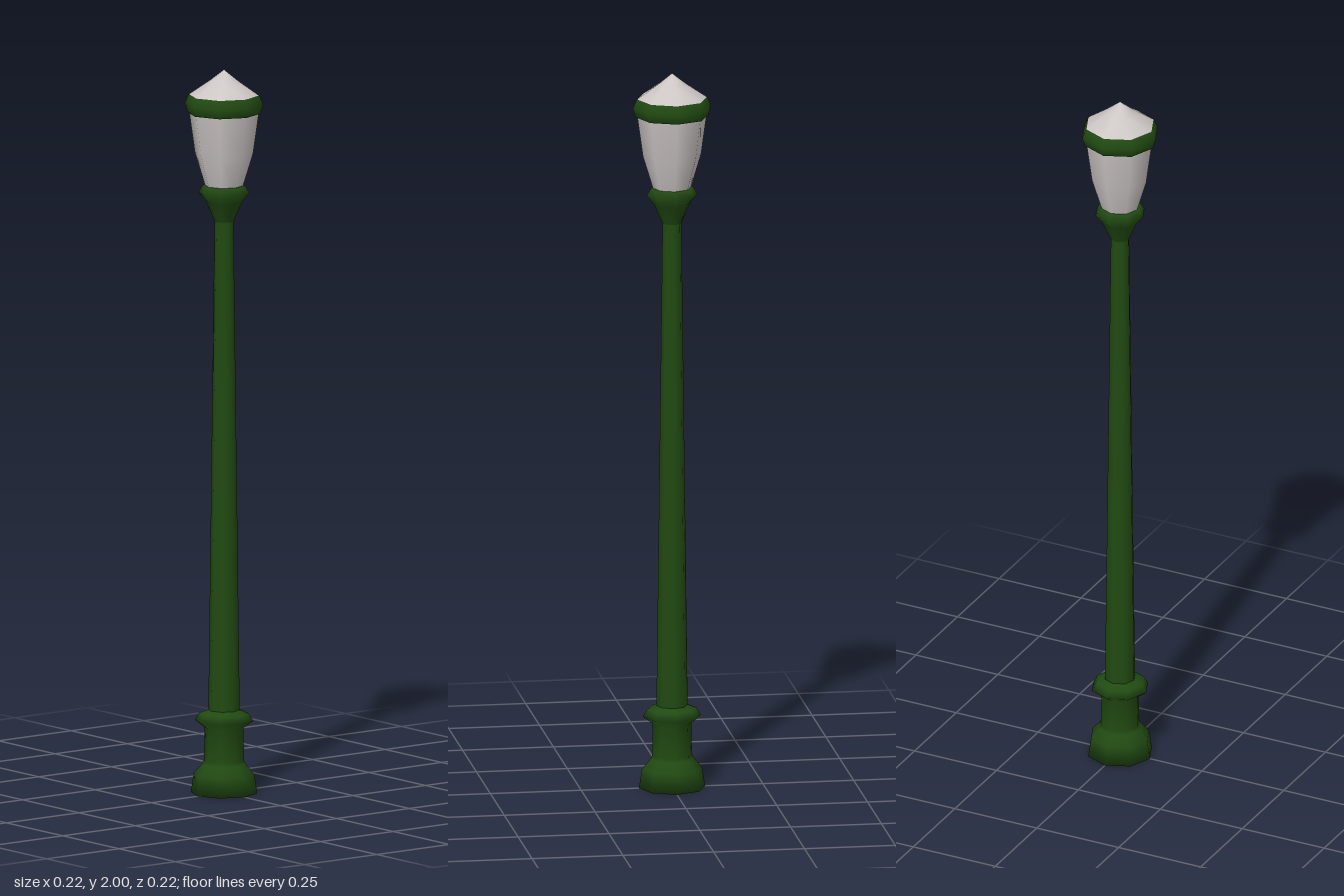
import * as THREE from 'three';

const SIDES = 8;

// Eight-sided turned part from [radius, height] pairs, listed bottom to top
function turned(name, material, profile) {
  const points = profile.map(([r, y]) => new THREE.Vector2(r, y));
  const mesh = new THREE.Mesh(new THREE.LatheGeometry(points, SIDES), material);
  mesh.name = name;
  return mesh;
}

export function createModel() {
  const green = new THREE.MeshStandardMaterial({ color: 0x214a12 });
  const frosted = new THREE.MeshStandardMaterial({ color: 0xccc6c4, side: THREE.DoubleSide });

  const model = new THREE.Group();
  model.name = 'streetLamp';

  model.add(
    // Closed foot, narrow neck and the ring the pole rises from
    turned('base', green, [
      [0, 0], [0.091, 0], [0.083, 0.053], [0.06, 0.08],
      [0.055, 0.09], [0.053, 0.18], [0.08, 0.2], [0.068, 0.22], [0.042, 0.23],
    ]),
    // Tapering pole
    turned('pole', green, [[0.043, 0.225], [0.026, 1.59]]),
    // Flared cup holding the lantern
    turned('lanternCup', green, [
      [0.026, 1.58], [0.05, 1.635], [0.07, 1.66], [0.057, 1.68], [0, 1.68],
    ]),
    // Glass body, widening upwards
    turned('lanternGlass', frosted, [[0.051, 1.675], [0.08, 1.77], [0.096, 1.885]]),
    // Rim between glass and cap
    turned('lanternRim', green, [
      [0.094, 1.88], [0.1, 1.88], [0.108, 1.905], [0.097, 1.93], [0.09, 1.93],
    ]),
    // Pointed cap
    turned('lanternCap', frosted, [[0.096, 1.93], [0.038, 1.97], [0, 2]]),
  );

  return model;
}
